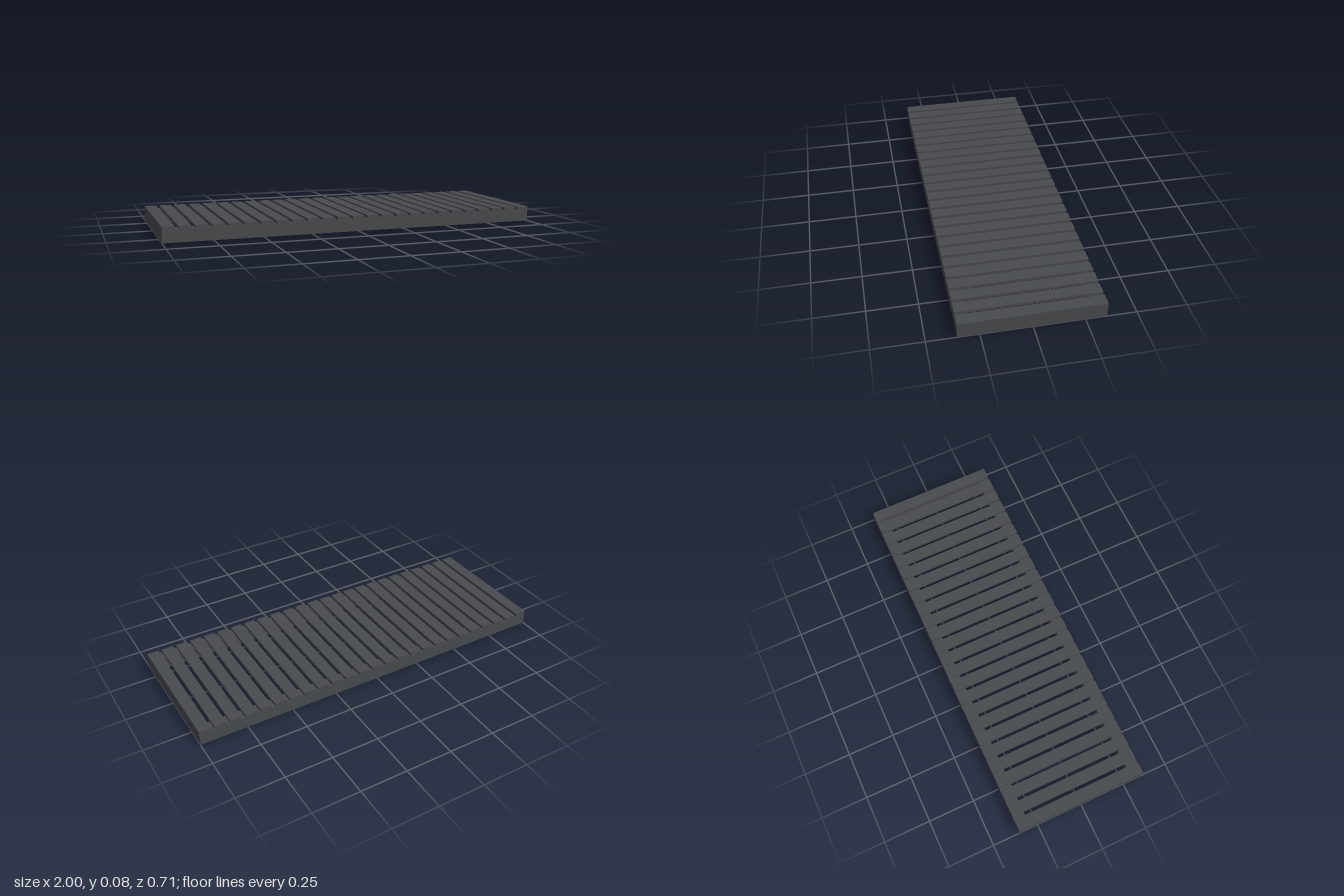
import * as THREE from 'three';

const LENGTH = 2, DEPTH = 0.71, HEIGHT = 0.08;
const RAIL = 0.0625;      // width of the frame rails and of each slat
const SLAT_H = 0.016;     // slat thickness
const SLATS = 25;

export function createModel() {
  const model = new THREE.Group();
  model.name = 'slattedGrate';

  const charcoal = new THREE.MeshStandardMaterial({ color: 0x484b4e });
  charcoal.name = 'charcoal';

  // Rectangular frame, open in the middle
  const rectangle = (path, w, d) => path
    .moveTo(-w / 2, -d / 2).lineTo(w / 2, -d / 2)
    .lineTo(w / 2, d / 2).lineTo(-w / 2, d / 2).closePath();
  const outline = new THREE.Shape();
  rectangle(outline, LENGTH, DEPTH);
  const opening = new THREE.Path();
  rectangle(opening, LENGTH - 2 * RAIL, DEPTH - 2 * RAIL);
  outline.holes.push(opening);
  const frameGeometry = new THREE.ExtrudeGeometry(outline, { depth: HEIGHT - SLAT_H, bevelEnabled: false });
  frameGeometry.rotateX(-Math.PI / 2);
  const frame = new THREE.Mesh(frameGeometry, charcoal);
  frame.name = 'frame';
  model.add(frame);

  // Evenly spaced slats lying across the frame
  const slats = new THREE.Group();
  slats.name = 'slats';
  const slatGeometry = new THREE.BoxGeometry(RAIL, SLAT_H, DEPTH);
  const pitch = (LENGTH - RAIL) / (SLATS - 1);
  for (let i = 0; i < SLATS; i++) {
    const slat = new THREE.Mesh(slatGeometry, charcoal);
    slat.name = `slat${i + 1}`;
    slat.position.set((i - (SLATS - 1) / 2) * pitch, HEIGHT - SLAT_H / 2, 0);
    slats.add(slat);
  }
  model.add(slats);

  return model;
}
